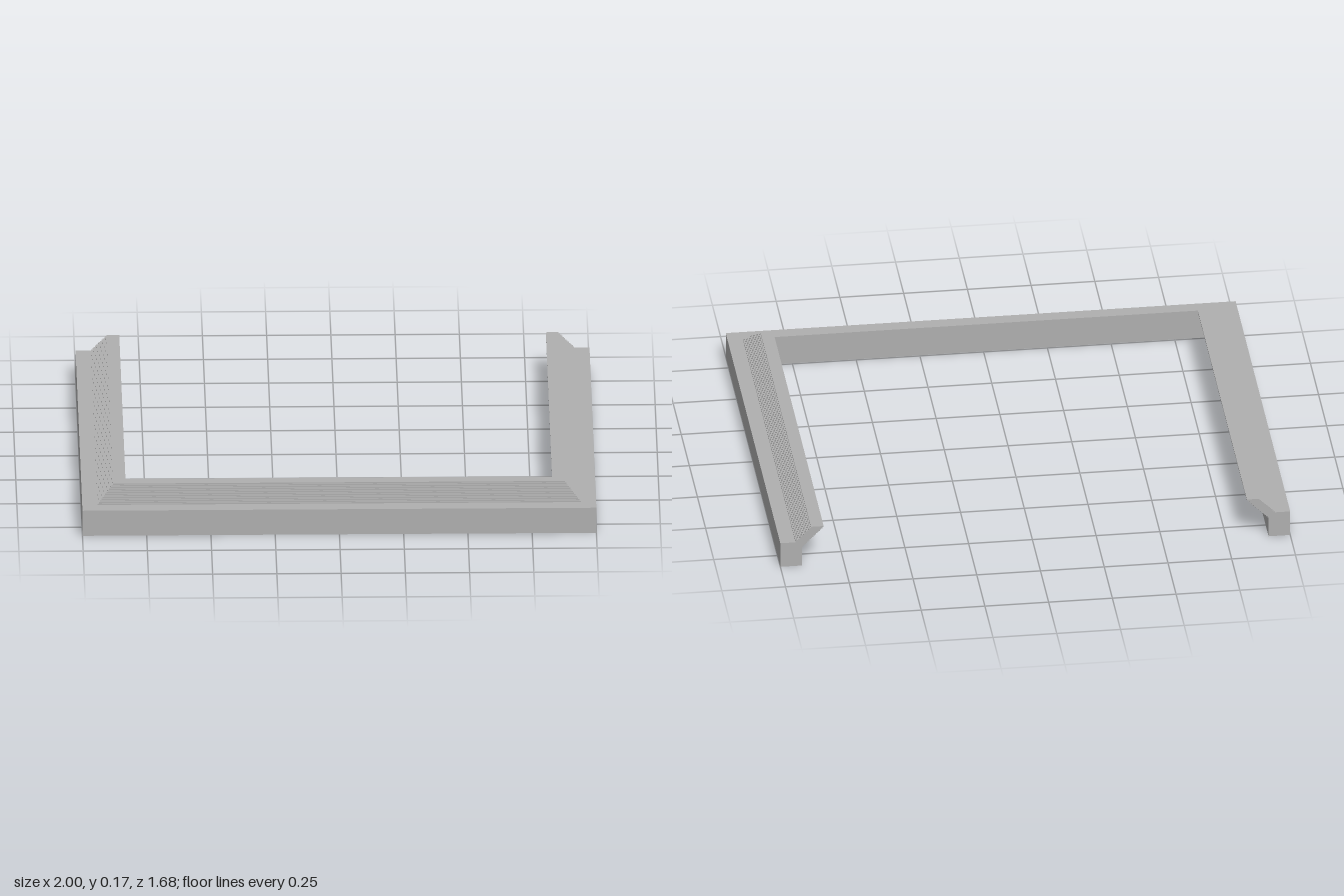
import * as THREE from 'three';

const HALF_X = 1, HALF_Z = 0.84;

// Sweeps a closed section of [inset, height] points round three sides with mitred corners.
function sweepFrame(section) {
  const place = ([d, y], station) => [
    [d - HALF_X, y, -HALF_Z],
    [d - HALF_X, y, HALF_Z - d],
    [HALF_X - d, y, HALF_Z - d],
    [HALF_X - d, y, -HALF_Z],
  ][station];
  const positions = [];
  const triangle = (a, b, c) => positions.push(...a, ...b, ...c);

  // Side walls
  for (let s = 0; s < 3; s++) {
    section.forEach((p, i) => {
      const q = section[(i + 1) % section.length];
      const a = place(p, s), b = place(q, s), c = place(p, s + 1), d = place(q, s + 1);
      triangle(a, c, b);
      triangle(b, c, d);
    });
  }

  // Flat caps on the two open ends
  const points = section.map(([d, y]) => new THREE.Vector2(d, y));
  for (const face of THREE.ShapeUtils.triangulateShape(points, [])) {
    const ccw = THREE.ShapeUtils.area(face.map((i) => points[i])) > 0 ? face : [...face].reverse();
    const [a, b, c] = ccw.map((i) => section[i]);
    triangle(place(c, 0), place(b, 0), place(a, 0));
    triangle(place(a, 3), place(b, 3), place(c, 3));
  }

  const geometry = new THREE.BufferGeometry();
  geometry.setAttribute('position', new THREE.Float32BufferAttribute(positions, 3));
  geometry.computeVertexNormals();
  return geometry;
}

// Leaning lip made of thin steps at 45 degrees, rooted in the beam
function lipSection() {
  const step = 0.005, section = [];
  for (let i = 0; i < 13; i++) {
    const d = 0.06 + i * step, y = 0.105 + i * step;
    section.push([d, y], [d, y + step]);
  }
  for (let i = 0; i < 17; i++) {
    const d = 0.17 - i * step, y = 0.17 - i * step;
    section.push([d, y], [d, y - step]);
  }
  section.push([0.08, 0.085]);
  return section;
}

export function createModel() {
  const grey = new THREE.MeshStandardMaterial({ color: 0xb0b0b0 });
  grey.name = 'grey';
  const model = new THREE.Group();
  model.name = 'threeSidedFrame';

  const parts = {
    baseBeam: [[0, 0], [0, 0.105], [0.085, 0.105], [0.085, 0]],
    steppedLip: lipSection(),
  };
  for (const [name, section] of Object.entries(parts)) {
    const mesh = new THREE.Mesh(sweepFrame(section), grey);
    mesh.name = name;
    model.add(mesh);
  }
  return model;
}
